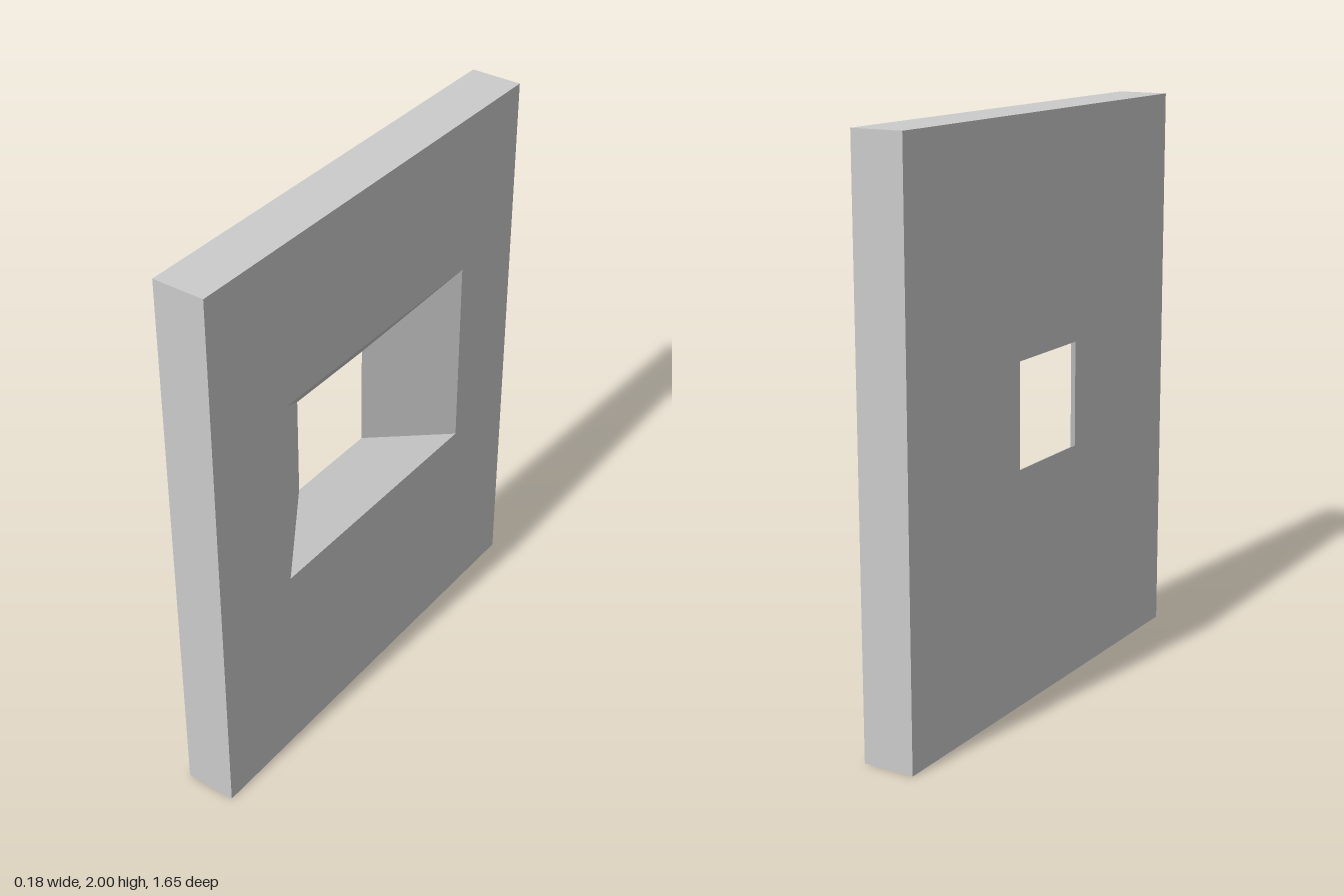
import * as THREE from 'three';

// Rectangular ring of corners, counter-clockwise as seen from +x
function ring(x, y0, y1, z0, z1) {
  return [[x, y0, z1], [x, y0, z0], [x, y1, z0], [x, y1, z1]];
}

// Skin a closed sequence of rings with flat quads
function skinRings(rings) {
  const positions = [];
  rings.forEach((r, k) => {
    const next = rings[(k + 1) % rings.length];
    for (let i = 0; i < 4; i++) {
      const j = (i + 1) % 4;
      const [a, b, c, d] = [r[i], r[j], next[j], next[i]];
      positions.push(...a, ...b, ...c, ...a, ...c, ...d);
    }
  });
  const geometry = new THREE.BufferGeometry();
  geometry.setAttribute('position', new THREE.Float32BufferAttribute(positions, 3));
  geometry.computeVertexNormals();
  return geometry;
}

export function createModel() {
  const group = new THREE.Group();
  group.name = 'wallWithSplayedWindow';
  const halfThickness = 0.092;
  const halfWidth = 0.826;

  // Wall slab whose window opening splays from a small square to a wide mouth
  const wall = new THREE.Mesh(
    skinRings([
      ring(-halfThickness, 0, 2, -halfWidth, halfWidth),
      ring(halfThickness, 0, 2, -halfWidth, halfWidth),
      ring(halfThickness, 0.737, 1.431, -0.513, 0.473), // wide mouth
      ring(-halfThickness, 0.836, 1.203, -0.183, 0.181), // small opening
    ]),
    new THREE.MeshStandardMaterial({ color: 0xcccccc, flatShading: true })
  );
  wall.name = 'wall';
  group.add(wall);
  return group;
}
